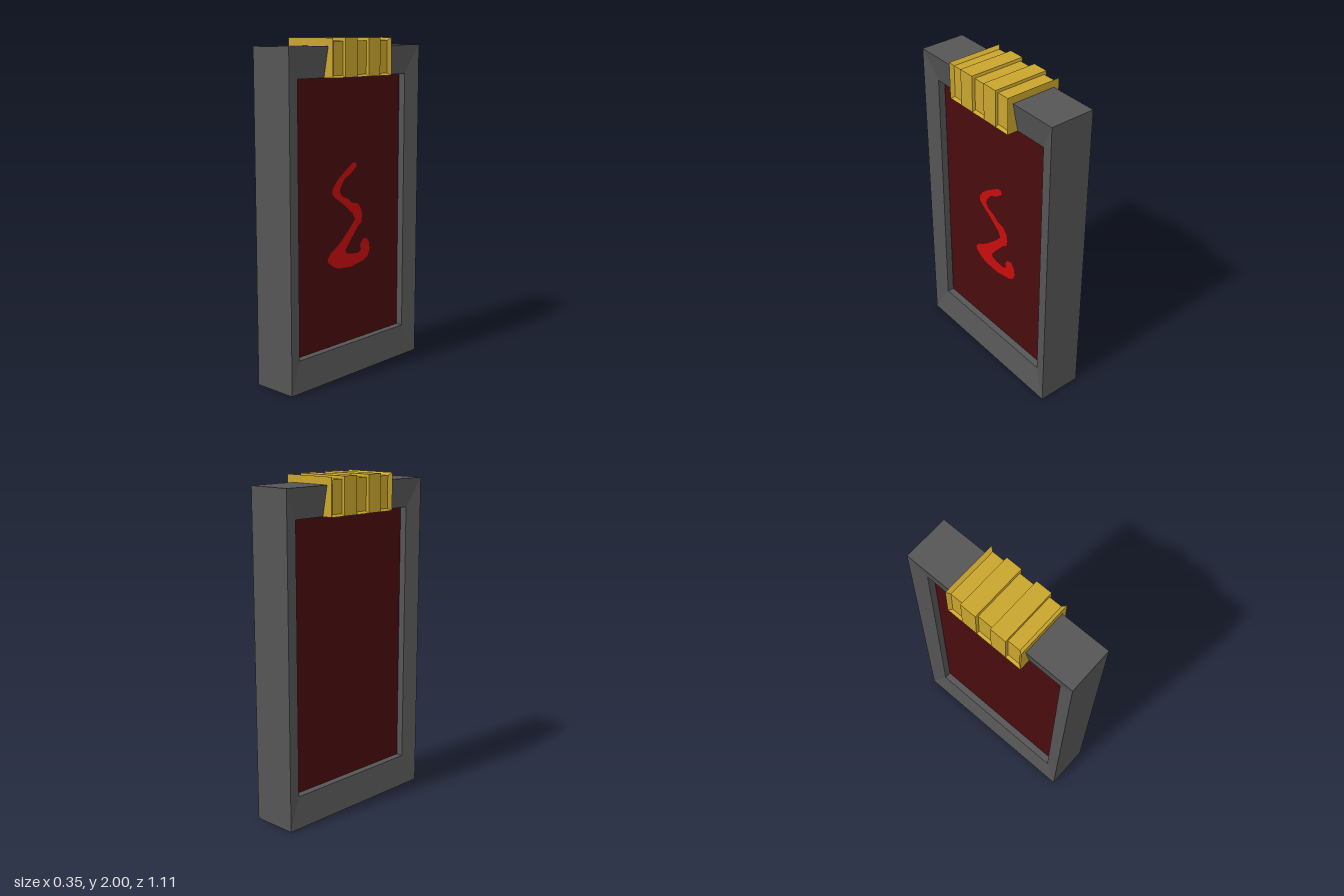
import * as THREE from 'three';

// Skin a list of equal-length rings into a flat-shaded surface, with optional end caps
function loft(rings, caps) {
  const v = [];
  const tri = (...pts) => pts.forEach((p) => v.push(...p));
  for (let i = 0; i < rings.length - 1; i++) {
    const r = rings[i], s = rings[i + 1], n = r.length;
    for (let j = 0; j < n; j++) {
      const k = (j + 1) % n;
      tri(r[j], r[k], s[k]);
      tri(r[j], s[k], s[j]);
    }
  }
  if (caps) {
    const a = rings[0], b = rings[rings.length - 1];
    for (let j = 1; j < a.length - 1; j++) {
      tri(a[0], a[j + 1], a[j]);
      tri(b[0], b[j], b[j + 1]);
    }
  }
  const g = new THREE.BufferGeometry();
  g.setAttribute('position', new THREE.Float32BufferAttribute(v, 3));
  g.computeVertexNormals();
  return g;
}

export function createModel() {
  const group = new THREE.Group();
  const material = (name, color) => {
    const m = new THREE.MeshStandardMaterial({ color });
    m.name = name;
    return m;
  };
  const stone = material('dark grey', 0x555555);
  const gold = material('gold', 0xc9a52d);
  const maroon = material('maroon', 0x480c0e);
  const red = material('bright red', 0xc80d0d);
  const add = (name, geometry, mat) => {
    const mesh = new THREE.Mesh(geometry, mat);
    mesh.name = name;
    group.add(mesh);
    return mesh;
  };

  // Frame: mitred, with faces sloping in towards the opening on both sides
  const rect = (x, y0, y1, z) => [[x, y0, z], [x, y0, -z], [x, y1, -z], [x, y1, z]];
  const outer = (x) => rect(x, 0, 1.955, 0.555);
  const inner = (x) => rect(x, 0.18, 1.78, 0.46);
  add('frame', loft([outer(-0.14), outer(0.14), inner(0.107), inner(-0.107), outer(-0.14)]), stone);

  // Recessed panel
  add('panel', new THREE.BoxGeometry(0.128, 1.6, 0.92), maroon).position.y = 0.98;

  // Clasp over the top: raised bands alternate with shallow dished recesses
  const clasp = (z, d) => {
    const w = 0.175, x = w - d, t = 2 - d, b = 1.78 + d * 0.75;
    return [[-x, t, z], [x, t, z], [x, b, z], [w, 1.78, z], [-w, 1.78, z], [-x, b, z]];
  };
  const D = 0.017;
  const half = [[0.252, 0], [0.23, D], [0.152, D], [0.15, 0], [0.05, 0], [0.046, D]];
  const stations = [...half, ...half.map(([z, d]) => [-z, d]).reverse()];
  add('topClasp', loft(stations.map(([z, d]) => clasp(z, d)), true), gold);

  // Painted squiggle on one side only, outlined in (-z, y) hundredths
  const outline = [
    6, 127, 7, 125, 2, 121, -4, 118, -7, 114, -8, 111, -6, 108, -1, 106, 3, 103, 8, 102,
    11, 98, 12, 94, 11, 90, 8, 88, 4.5, 84, 1, 80, -3, 75, -2, 73, 3, 72, 8, 71.5,
    11, 73, 10, 76, 12, 79, 15.5, 80, 18, 77, 19, 72, 17, 68, 13, 66, 7, 65, 3, 64,
    -4, 64.5, -10, 65, -14, 67, -18, 70, -18.5, 72, -16, 75, -11, 78, -8, 80, -4.5, 83, 0, 87,
    4, 91, 5.5, 93, 3, 97, -1, 100, -6, 104, -11, 107, -14, 110, -14, 113, -11, 117, -6, 121,
    0, 125, 3, 127,
  ];
  const pts = [];
  for (let i = 0; i < outline.length; i += 2) {
    pts.push(new THREE.Vector2(outline[i] / 100, outline[i + 1] / 100));
  }
  const squiggle = add('paintedSquiggle', new THREE.ShapeGeometry(new THREE.Shape(pts)), red);
  squiggle.rotation.y = Math.PI / 2;
  squiggle.position.x = 0.067;

  return group;
}
